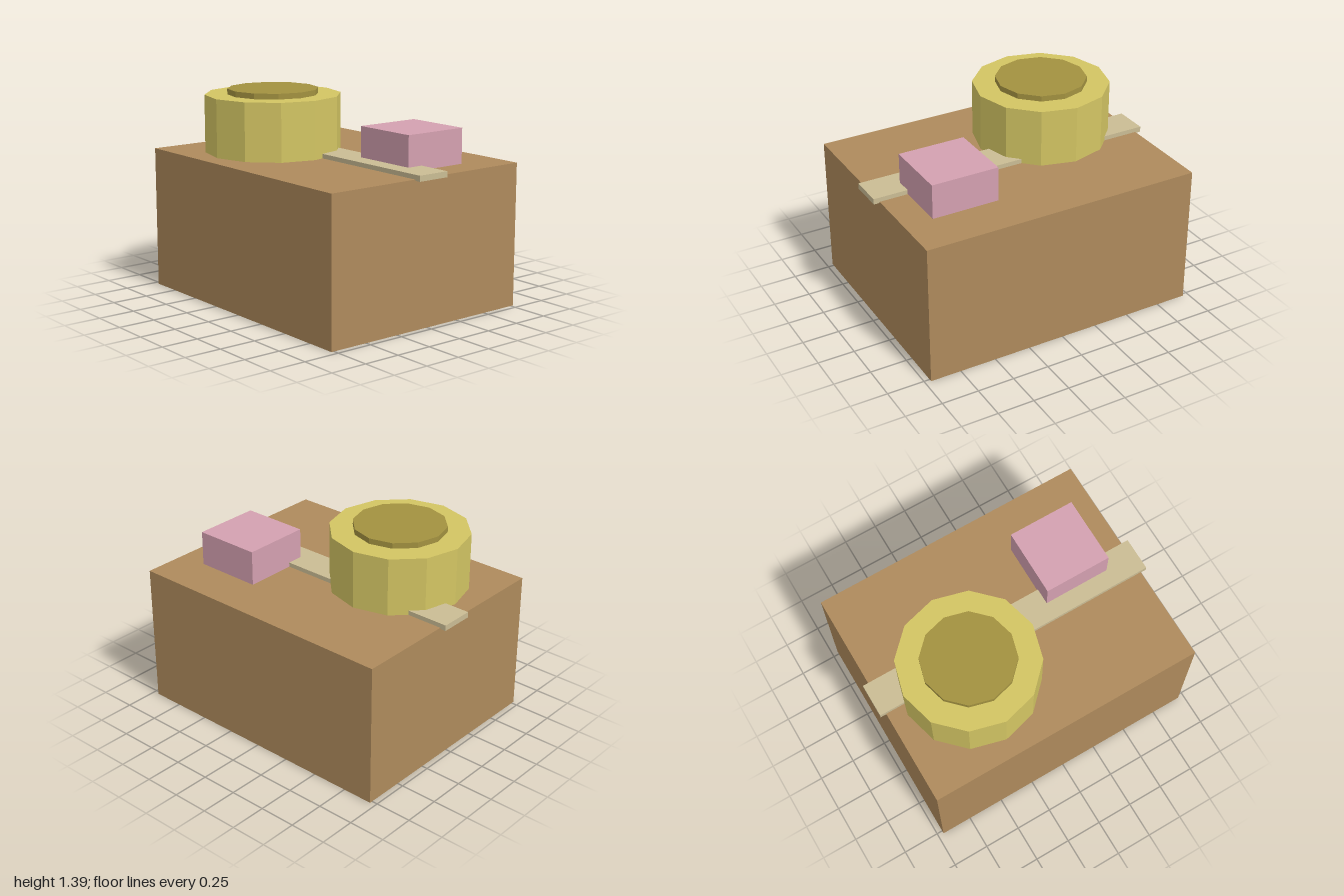
import * as THREE from 'three';

export function createModel() {
  const model = new THREE.Group();

  const add = (name, geometry, color, x, y, z) => {
    const material = new THREE.MeshStandardMaterial({ color, flatShading: true });
    const mesh = new THREE.Mesh(geometry, material);
    mesh.name = name;
    mesh.position.set(x, y, z);
    model.add(mesh);
  };

  // Carton, with a strip of tape overhanging both ends of its top
  add('carton', new THREE.BoxGeometry(1.92, 0.96, 1.54), 0xae8a5c, 0, 0.48, 0);
  add('tapeStrip', new THREE.BoxGeometry(2, 0.038, 0.23), 0xcabc94, 0, 0.971, 0);

  // Twelve-sided tub with a smaller raised disc on top
  add('tub', new THREE.CylinderGeometry(0.46, 0.46, 0.39, 12), 0xd3c563, -0.385, 1.155, 0.19);
  add('tubDisc', new THREE.CylinderGeometry(0.307, 0.307, 0.077, 12), 0xa39240, -0.385, 1.349, 0.19);

  // Small block resting on the carton
  add('smallBlock', new THREE.BoxGeometry(0.46, 0.235, 0.46), 0xd4a0b0, 0.535, 1.0775, -0.233);

  return model;
}
